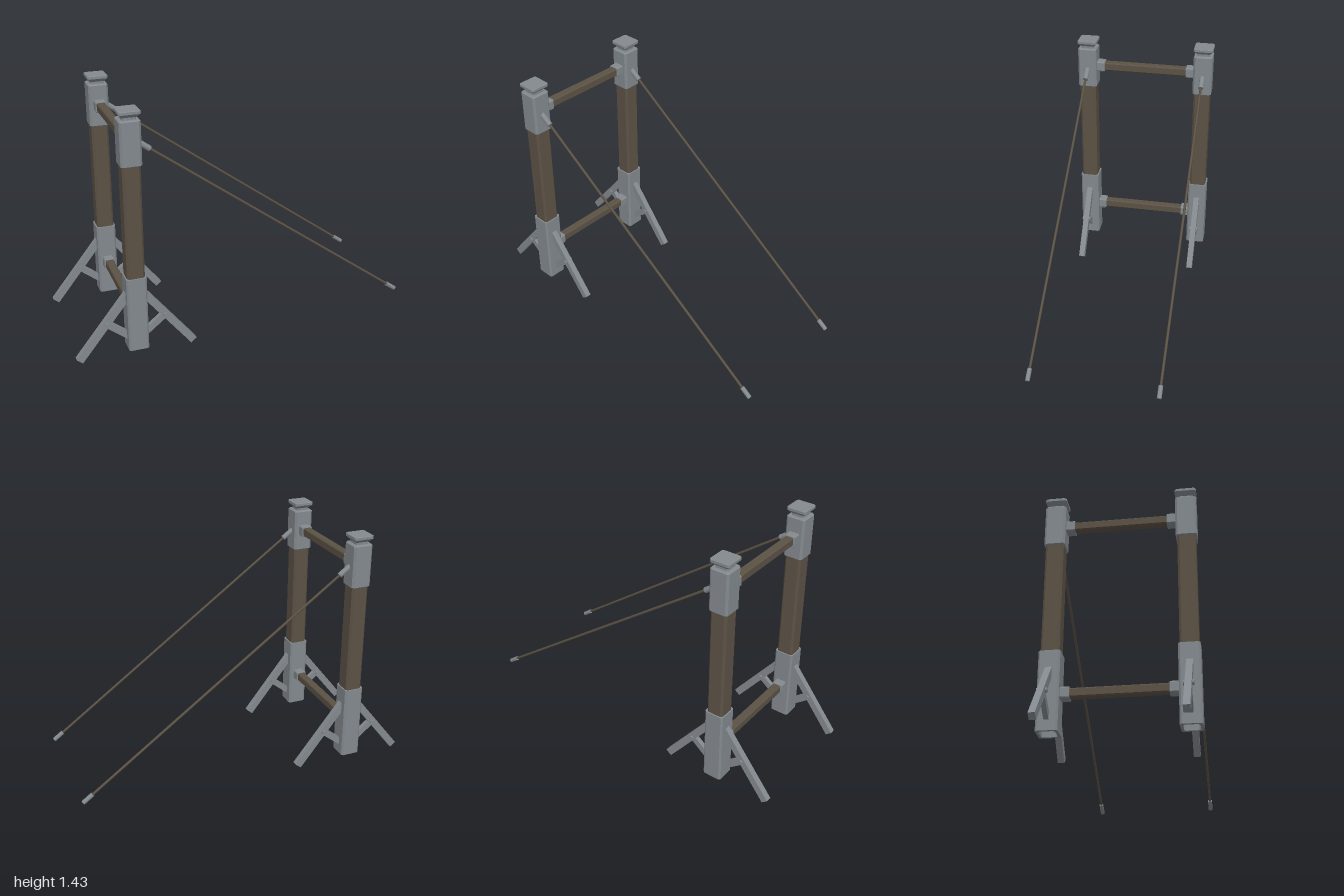
import * as THREE from 'three';

const metal = new THREE.MeshStandardMaterial({ color: 0x83898e });
metal.name = 'grey metal';
const wood = new THREE.MeshStandardMaterial({ color: 0x5c5245 });
wood.name = 'brown wood';

const POST_X = -0.655, POST_Z = 0.36;

// Square outline with chamfered corners
function outline(w, c, Type = THREE.Shape) {
  const a = w / 2, b = a - c;
  return new Type([[a, -b], [a, b], [b, a], [-b, a], [-a, b], [-a, -b], [-b, -a], [b, -a]]
    .map(([x, y]) => new THREE.Vector2(x, y)));
}

// Upright chamfered prism from y0 to y1, optionally hollow, with bevelled ends
function prism(w, c, y0, y1, bevel = 0, hole = 0) {
  const shape = outline(w - 2 * bevel, c);
  if (hole) shape.holes.push(outline(hole, c, THREE.Path));
  const g = new THREE.ExtrudeGeometry(shape, {
    depth: y1 - y0 - 2 * bevel, bevelEnabled: bevel > 0,
    bevelSize: bevel, bevelThickness: bevel, bevelSegments: 1,
  });
  return g.translate(0, 0, y0 + bevel).rotateX(-Math.PI / 2);
}

function add(parent, name, geometry, material) {
  const m = new THREE.Mesh(geometry, material);
  m.name = name;
  parent.add(m);
  return m;
}

// Place a y-aligned part so that it spans from a to b
function span(mesh, a, b) {
  mesh.position.copy(a).add(b).multiplyScalar(0.5);
  mesh.quaternion.setFromUnitVectors(new THREE.Vector3(0, 1, 0), b.clone().sub(a).normalize());
}
function strut(parent, name, a, b, w, d) {
  span(add(parent, name, new THREE.BoxGeometry(w, a.distanceTo(b), d), metal), a, b);
}
function rod(parent, name, a, b, r, material, sides = 12) {
  span(add(parent, name, new THREE.CylinderGeometry(r, r, a.distanceTo(b), sides), material), a, b);
}
const V = (x, y, z = 0) => new THREE.Vector3(x, y, z);

function makePost() {
  const post = new THREE.Group();
  post.name = 'post';
  add(post, 'timber', prism(0.1, 0.012, 0.12, 1.2), wood);
  add(post, 'baseSleeve', prism(0.115, 0.01, 0.05, 0.49, 0, 0.085), metal);
  add(post, 'topSleeve', prism(0.115, 0.008, 1.13, 1.38, 0.006), metal);

  // Cap: narrow neck, flared underside, flat plate
  add(post, 'capNeck', prism(0.075, 0.006, 1.375, 1.395), metal);
  const flare = new THREE.CylinderGeometry(0.11 / Math.SQRT2, 0.075 / Math.SQRT2, 0.018, 4)
    .rotateY(Math.PI / 4).toNonIndexed();
  flare.computeVertexNormals();
  add(post, 'capFlare', flare.translate(0, 1.402, 0), metal);
  add(post, 'capPlate', prism(0.118, 0.008, 1.41, 1.43, 0.003), metal);

  // Splayed legs with braces and pivot pins
  for (const s of [-1, 1]) {
    strut(post, 'leg', V(s * 0.035, 0.39), V(s * 0.33, 0.018), 0.042, 0.035);
    strut(post, 'brace', V(s * 0.04, 0.117), V(s * 0.172, 0.222), 0.038, 0.026);
    rod(post, 'pivotPin', V(s * 0.166, 0.218, -0.027), V(s * 0.166, 0.218, 0.027), 0.013, metal);
  }

  // Stay line with an end fitting at both ends
  const a = V(0.04, 1.255), b = V(1.643, 0.097, -0.006);
  const at = (t) => a.clone().lerp(b, t);
  rod(post, 'stayLine', at(0.02), at(0.99), 0.0075, wood, 8);
  rod(post, 'upperFitting', a, at(0.045), 0.016, metal);
  rod(post, 'lowerFitting', at(0.965), b, 0.013, metal);
  return post;
}

export function createModel() {
  const model = new THREE.Group();
  model.name = 'postFrame';
  for (const s of [-1, 1]) {
    const post = makePost();
    post.position.set(POST_X, 0, s * POST_Z);
    model.add(post);
  }

  // Crossbars with square collars against the sleeves
  for (const y of [0.262, 1.26]) {
    const bar = add(model, 'crossbar', prism(0.05, 0.006, -0.29, 0.29), wood);
    bar.rotation.x = Math.PI / 2;
    bar.position.set(POST_X, y, 0);
    for (const s of [-1, 1]) {
      const collar = add(model, 'collar', prism(0.064, 0.005, -0.027, 0.027, 0.003), metal);
      collar.rotation.x = Math.PI / 2;
      collar.position.set(POST_X, y, s * 0.281);
    }
  }
  return model;
}
